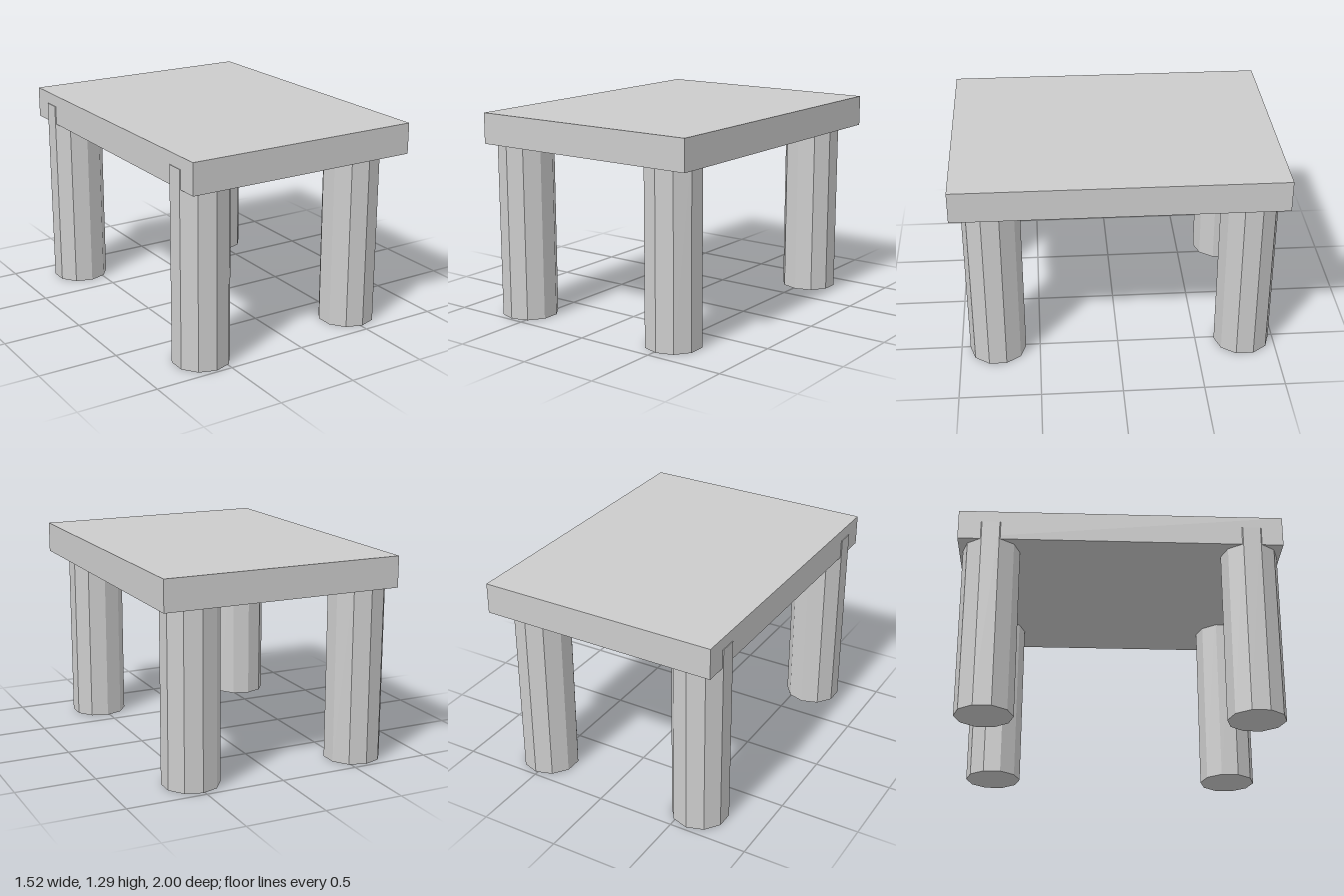
import * as THREE from 'three';

export function createModel() {
  const group = new THREE.Group();
  const grey = new THREE.MeshStandardMaterial({ name: 'plain grey', color: 0xcccccc, flatShading: true });

  // Tabletop slab
  const top = new THREE.Mesh(new THREE.BoxGeometry(1.518, 0.193, 2), grey);
  top.name = 'tabletop';
  top.position.set(0.001, 1.1985, 0);
  group.add(top);

  // Ten-sided legs, sunk into the slab; the left-side pair of sides is slightly uneven
  const legHeight = 1.22;
  const legGeometry = new THREE.CylinderGeometry(0.177, 0.177, legHeight, 10);
  const legs = [
    ['frontRightLeg', -0.594, 0.807],
    ['backRightLeg', -0.594, -0.8],
    ['frontLeftLeg', 0.513, 0.767],
    ['backLeftLeg', 0.513, -0.798],
  ];
  for (const [name, x, z] of legs) {
    const leg = new THREE.Mesh(legGeometry, grey);
    leg.name = name;
    leg.position.set(x, legHeight / 2, z);
    group.add(leg);
  }
  return group;
}
